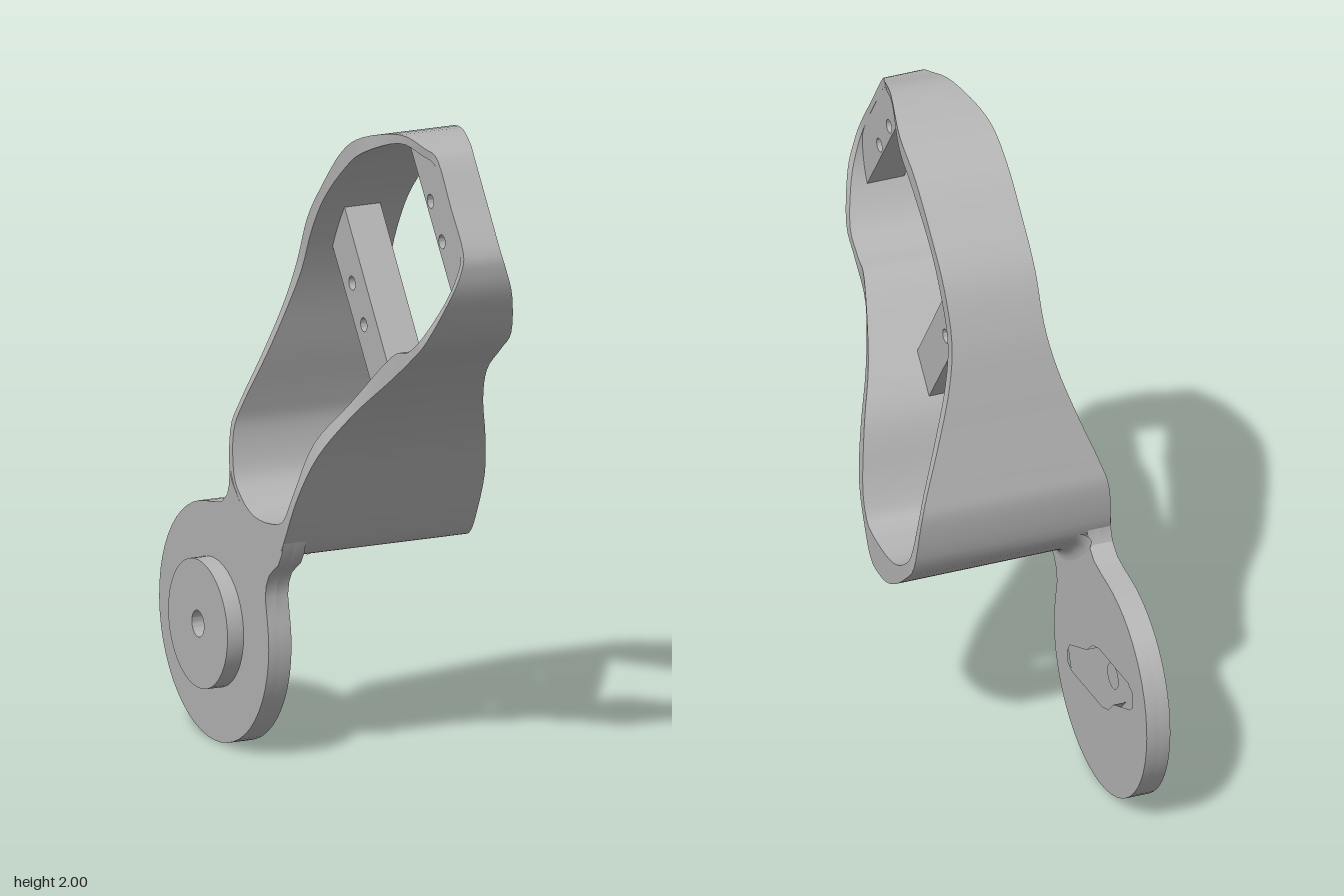
import * as THREE from 'three';
import { toCreasedNormals } from 'three/addons/utils/BufferGeometryUtils.js';

// Local axes: X runs to the back, Y up, Z across the width; the group is turned at the end.
const MID = 0.025;
const STEPS = 4;
const SLOT = [0.06, 0.195]; // drain slot across the width
const DISC = [0.387, 0.36];

// Band sections: outer x, y, inner x, y, half width
const SECTIONS = [
  [-0.41, 2.0, -0.4, 1.972, 0.1], [-0.52, 1.98, -0.5, 1.955, 0.075],
  [-0.575, 1.955, -0.565, 1.93, 0.06], [-0.66, 1.833, -0.645, 1.82, 0.06],
  [-0.742, 1.715, -0.72, 1.705, 0.06], [-0.755, 1.65, -0.73, 1.64, 0.075],
  [-0.735, 1.563, -0.705, 1.55, 0.105], [-0.66, 1.43, -0.63, 1.435, 0.14],
  [-0.575, 1.357, -0.55, 1.375, 0.147], [-0.46, 1.268, -0.47, 1.345, 0.16],
  [-0.325, 1.14, -0.305, 1.17, 0.215], [-0.22, 1.0, -0.19, 1.03, 0.275],
  [-0.15, 0.86, -0.122, 0.865, 0.308], [-0.077, 0.715, -0.075, 0.778, 0.315],
  [-0.04, 0.66, -0.03, 0.752, 0.315], [0, 0.645, 0.01, 0.744, 0.315],
  [0.07, 0.645, 0.07, 0.738, 0.315], [0.146, 0.678, 0.14, 0.745, 0.315],
  [0.22, 0.735, 0.205, 0.777, 0.315], [0.286, 0.81, 0.262, 0.837, 0.312],
  [0.31, 0.96, 0.288, 0.96, 0.3], [0.294, 1.05, 0.272, 1.05, 0.275],
  [0.255, 1.2, 0.228, 1.2, 0.22], [0.217, 1.35, 0.187, 1.35, 0.172],
  [0.178, 1.484, 0.145, 1.47, 0.147], [0.114, 1.632, 0.085, 1.6, 0.145],
  [0.02, 1.75, 0, 1.72, 0.145], [-0.114, 1.887, -0.14, 1.845, 0.145],
  [-0.246, 1.96, -0.25, 1.915, 0.14],
];

const curve = (f) => new THREE.CatmullRomCurve3(SECTIONS.map(f), true, 'catmullrom', 0.5);
const outerCurve = curve((s) => new THREE.Vector3(s[0], s[1], s[4]));
const innerCurve = curve((s) => new THREE.Vector3(s[2], s[3], 0));
const COUNT = SECTIONS.length * STEPS;
const samples = Array.from({ length: COUNT }, (_, i) => ({
  o: outerCurve.getPoint(i / COUNT),
  n: innerCurve.getPoint(i / COUNT),
}));

function quadMesher() {
  const pos = [];
  return {
    quad(a, b, c, d) { for (const p of [a, b, c, a, c, d]) pos.push(...p); },
    build() {
      const g = new THREE.BufferGeometry();
      g.setAttribute('position', new THREE.Float32BufferAttribute(pos, 3));
      g.computeVertexNormals();
      return toCreasedNormals(g, 0.6);
    },
  };
}

const at = (p, z) => [p.x, p.y, z];

// Closed band of varying width, with the small slot left open underneath
function bandGeometry() {
  const m = quadMesher();
  const slotStart = 15 * STEPS, slotEnd = 16 * STEPS;
  const strip = (s, t, l0, l1, r0, r1) => {
    m.quad(at(s.o, l0), at(t.o, l1), at(t.o, r1), at(s.o, r0));
    m.quad(at(s.n, r0), at(t.n, r1), at(t.n, l1), at(s.n, l0));
    m.quad(at(s.o, r0), at(t.o, r1), at(t.n, r1), at(s.n, r0));
    m.quad(at(s.n, l0), at(t.n, l1), at(t.o, l1), at(s.o, l0));
  };
  const [a, b] = SLOT;
  samples.forEach((s, i) => {
    const t = samples[(i + 1) % COUNT];
    const ws = s.o.z, wt = t.o.z;
    if (i >= slotStart && i < slotEnd) {
      strip(s, t, MID - ws, MID - wt, a, a);
      strip(s, t, b, b, MID + ws, MID + wt);
    } else strip(s, t, MID - ws, MID - wt, MID + ws, MID + wt);
  });
  const s = samples[slotStart], e = samples[slotEnd];
  m.quad(at(s.n, a), at(s.n, b), at(s.o, b), at(s.o, a));
  m.quad(at(e.o, a), at(e.o, b), at(e.n, b), at(e.n, a));
  return m.build();
}

// Concave blend between the mounting plate and the underside of the band
function filletGeometry(radius) {
  const m = quadMesher();
  const point = (i, k) => {
    const ang = (k / 5) * Math.PI / 2;
    const p = samples[i].o;
    const t = samples[i + 1].o.clone().sub(samples[i - 1].o).setZ(0).normalize();
    const d = radius * (1 - Math.sin(ang));
    return [p.x + t.y * d, p.y - t.x * d, -0.215 + radius * (1 - Math.cos(ang))];
  };
  for (let i = 14 * STEPS; i < 19 * STEPS; i++)
    for (let k = 0; k < 5; k++)
      m.quad(point(i, k), point(i + 1, k), point(i + 1, k + 1), point(i, k + 1));
  return m.build();
}

const toShape = (pts) => new THREE.Shape(pts.map((p) => new THREE.Vector2(p[0], p[1])));

function roundHole(shape, x, y, r) {
  shape.holes.push(new THREE.Path().absarc(x, y, r, 0, Math.PI * 2, true));
  return shape;
}

function slab(shape, z0, z1) {
  const g = new THREE.ExtrudeGeometry(shape, { depth: z1 - z0, bevelEnabled: false, curveSegments: 20 });
  g.translate(0, 0, z0);
  return toCreasedNormals(g, 0.5);
}

// Disc outline joined by a curved neck to the band
function plateShape() {
  const pts = [];
  for (let i = 0; i <= 40; i++) {
    const a = THREE.MathUtils.degToRad(81 - (274 * i) / 40);
    pts.push([DISC[0] + 0.36 * Math.cos(a), DISC[1] + 0.36 * Math.sin(a)]);
  }
  pts.push([0.05, 0.51], [0.043, 0.55], [0.025, 0.583], [-0.005, 0.607], [-0.035, 0.627],
    [-0.058, 0.665], [-0.075, 0.72], [-0.03, 0.7], [0.08, 0.69], [0.2, 0.745], [0.265, 0.81],
    [0.285, 0.84], [0.288, 0.8], [0.3, 0.768], [0.337, 0.737], [0.39, 0.724]);
  return toShape(pts);
}

export function createModel() {
  const root = new THREE.Group();
  root.name = 'mountedBracket';
  const body = new THREE.Group();
  body.name = 'bracket';
  body.rotation.y = Math.PI / 2;
  root.add(body);

  const grey = new THREE.MeshStandardMaterial({ color: 0xb4b4b4 });
  grey.name = 'plain grey';
  const add = (name, geometry) => {
    const mesh = new THREE.Mesh(geometry, grey);
    mesh.name = name;
    body.add(mesh);
  };

  add('band', bandGeometry());
  add('neckFillet', filletGeometry(0.04));

  // Cross bars, each with two screw holes
  const bars = [
    ['endBar', [[-0.38, 1.975], [-0.41, 1.985], [-0.5, 1.965], [-0.57, 1.945], [-0.735, 1.71],
      [-0.74, 1.65], [-0.72, 1.56], [-0.697, 1.526]], [[-0.525, 1.82], [-0.6, 1.714]]],
    ['middleBar', [[0.045, 1.68], [-0.31, 1.165], [-0.218, 1.06], [0.125, 1.545]],
      [[-0.01, 1.452], [-0.087, 1.343]]],
  ];
  for (const [name, outline, holes] of bars) {
    const shape = toShape(outline);
    for (const [x, y] of holes) roundHole(shape, x, y, 0.021);
    add(name, slab(shape, MID - 0.059, MID + 0.059));
  }

  // Mounting plate: solid back layer, and a front layer cut by the horn-shaped recess
  add('plateBack', slab(roundHole(plateShape(), ...DISC, 0.04), -0.29, -0.255));
  const front = plateShape();
  front.holes.push(new THREE.Path([
    [0.13, 0.31], [0.15, 0.345], [0.28, 0.4], [0.325, 0.44], [0.375, 0.457], [0.6, 0.463],
    [0.635, 0.445], [0.637, 0.4], [0.615, 0.38], [0.49, 0.328], [0.45, 0.288], [0.4, 0.272],
    [0.165, 0.265], [0.135, 0.28],
  ].map((p) => new THREE.Vector2(p[0], p[1]))));
  add('plateFront', slab(front, -0.255, -0.215));

  // Round boss on the outer face
  const boss = new THREE.Shape().absarc(...DISC, 0.195, 0, Math.PI * 2, false);
  add('boss', slab(roundHole(boss, ...DISC, 0.04), -0.343, -0.29));

  return root;
}
